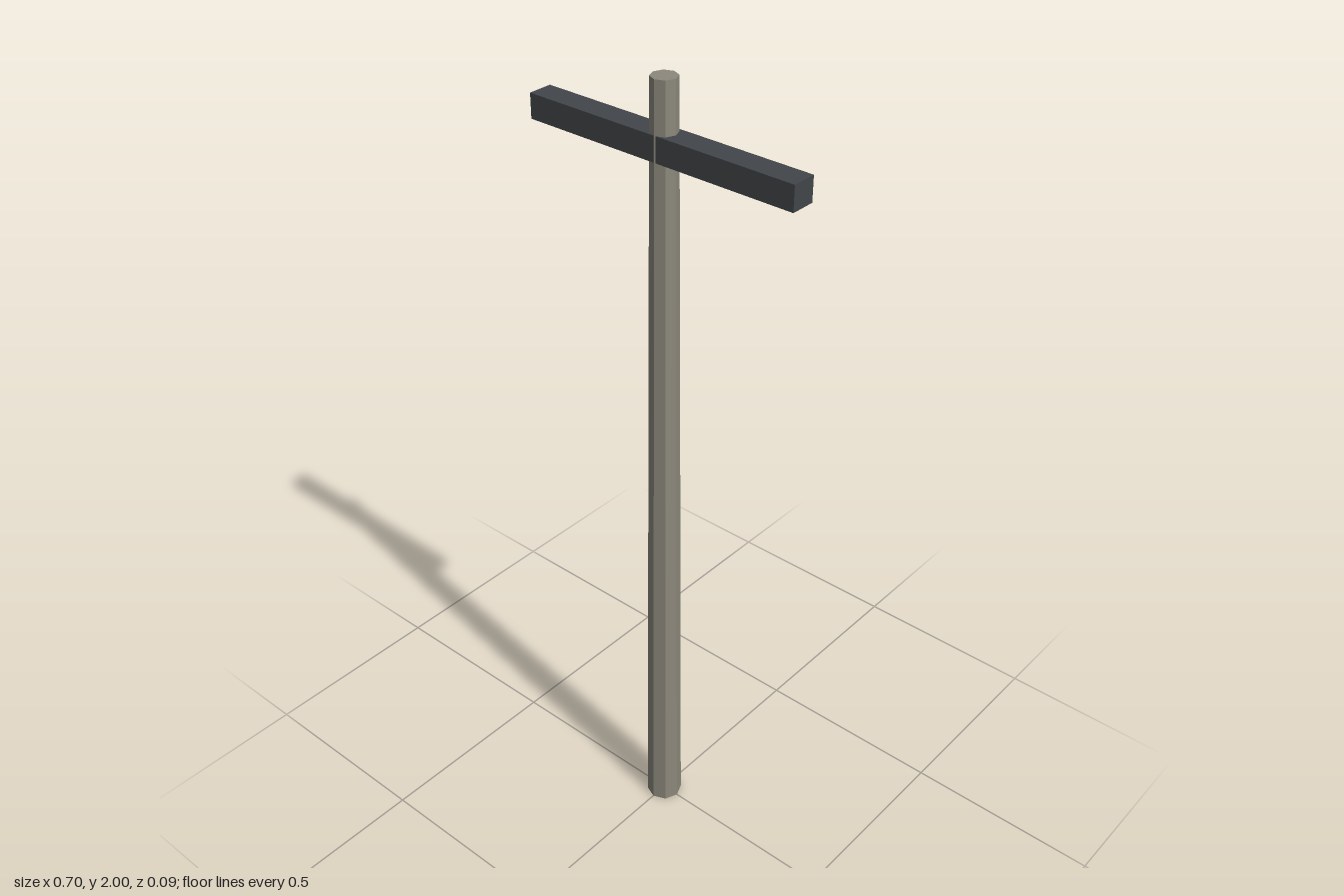
import * as THREE from 'three';

export function createModel() {
  const group = new THREE.Group();
  const add = (name, geometry, color, y) => {
    const mesh = new THREE.Mesh(geometry, new THREE.MeshStandardMaterial({ color, flatShading: true }));
    mesh.name = name;
    mesh.position.y = y;
    group.add(mesh);
  };

  // Tapered eight-sided pole, corners on the x and z axes
  add('pole', new THREE.CylinderGeometry(0.03, 0.045, 2, 8), 0x8c887c, 1);

  // Crossbar running through the pole near its top
  add('crossbar', new THREE.BoxGeometry(0.7, 0.058, 0.06), 0x42464a, 1.854);

  return group;
}
